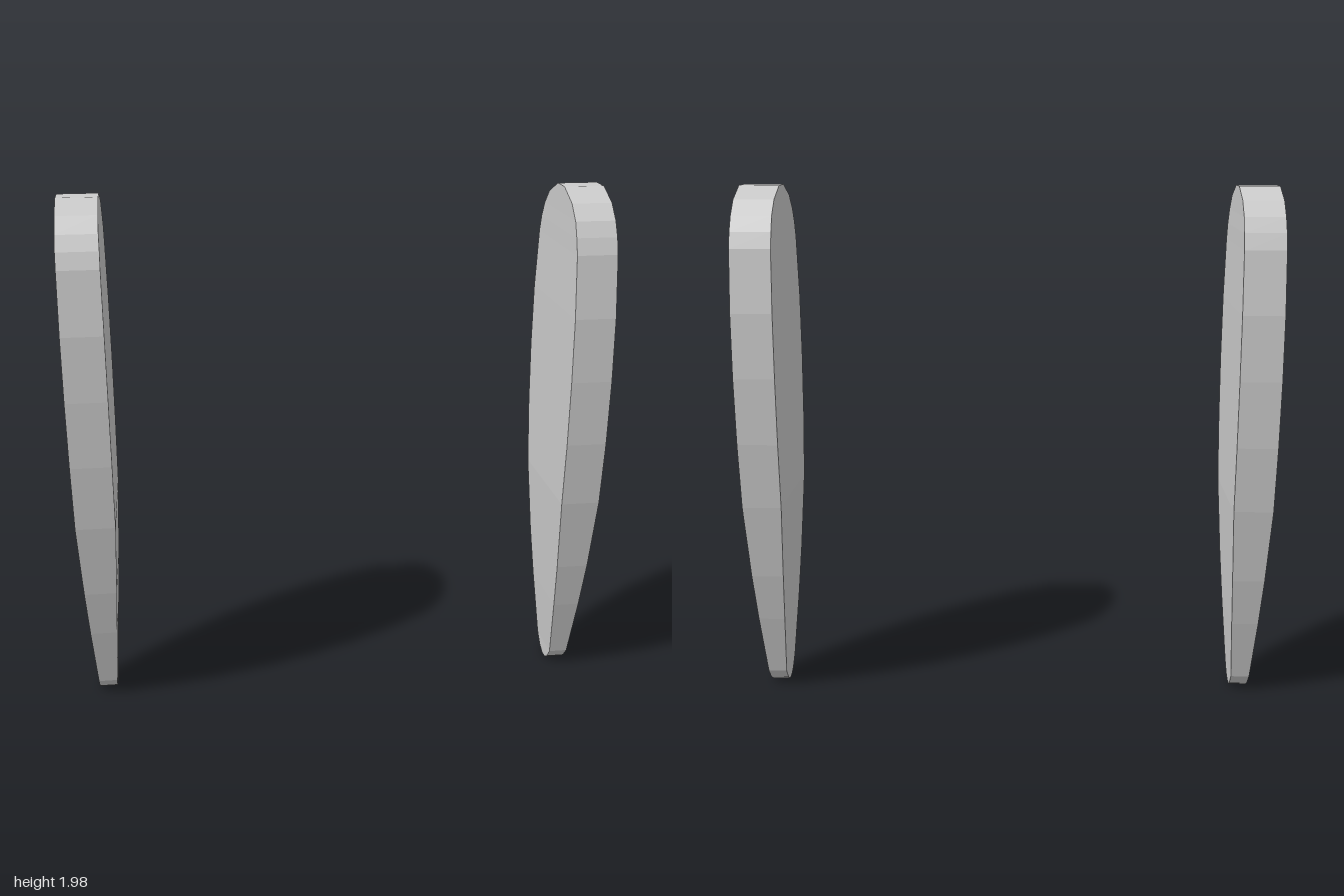
import * as THREE from 'three';

// Cross-sections from bottom to top: [height, half depth, half thickness]
const SECTIONS = [
  [0, 0.02, 0.034], [0.02, 0.052, 0.035], [0.063, 0.09, 0.036],
  [0.31, 0.155, 0.051], [0.5, 0.198, 0.061], [0.79, 0.245, 0.074],
  [1.04, 0.27, 0.076], [1.29, 0.28, 0.077], [1.53, 0.275, 0.077],
  [1.76, 0.248, 0.076], [1.82, 0.228, 0.076], [1.875, 0.2, 0.075],
  [1.93, 0.145, 0.075], [1.975, 0.042, 0.075],
];

// Loft rectangular sections into a tapered paddle with flat facets
function bladeGeometry() {
  const positions = [], index = [];
  for (const [y, w, t] of SECTIONS) {
    positions.push(-t, y, -w, t, y, -w, t, y, w, -t, y, w);
  }
  for (let i = 0; i < SECTIONS.length - 1; i++) {
    for (let k = 0; k < 4; k++) {
      const a = i * 4 + k, b = i * 4 + (k + 1) % 4;
      index.push(a, a + 4, b, b, a + 4, b + 4);
    }
  }
  // End caps
  const n = (SECTIONS.length - 1) * 4;
  index.push(0, 1, 2, 0, 2, 3, n, n + 2, n + 1, n, n + 3, n + 2);
  const geometry = new THREE.BufferGeometry();
  geometry.setAttribute('position', new THREE.Float32BufferAttribute(positions, 3));
  geometry.setIndex(index);
  geometry.computeVertexNormals();
  return geometry;
}

export function createModel() {
  const group = new THREE.Group();
  const geometry = bladeGeometry();
  const material = new THREE.MeshStandardMaterial({ color: 0xcccccc, flatShading: true });

  // Matching pair of upright blades
  for (const [name, x] of [['leftBlade', 0.923], ['rightBlade', -0.923]]) {
    const blade = new THREE.Mesh(geometry, material);
    blade.name = name;
    blade.position.x = x;
    group.add(blade);
  }
  return group;
}
